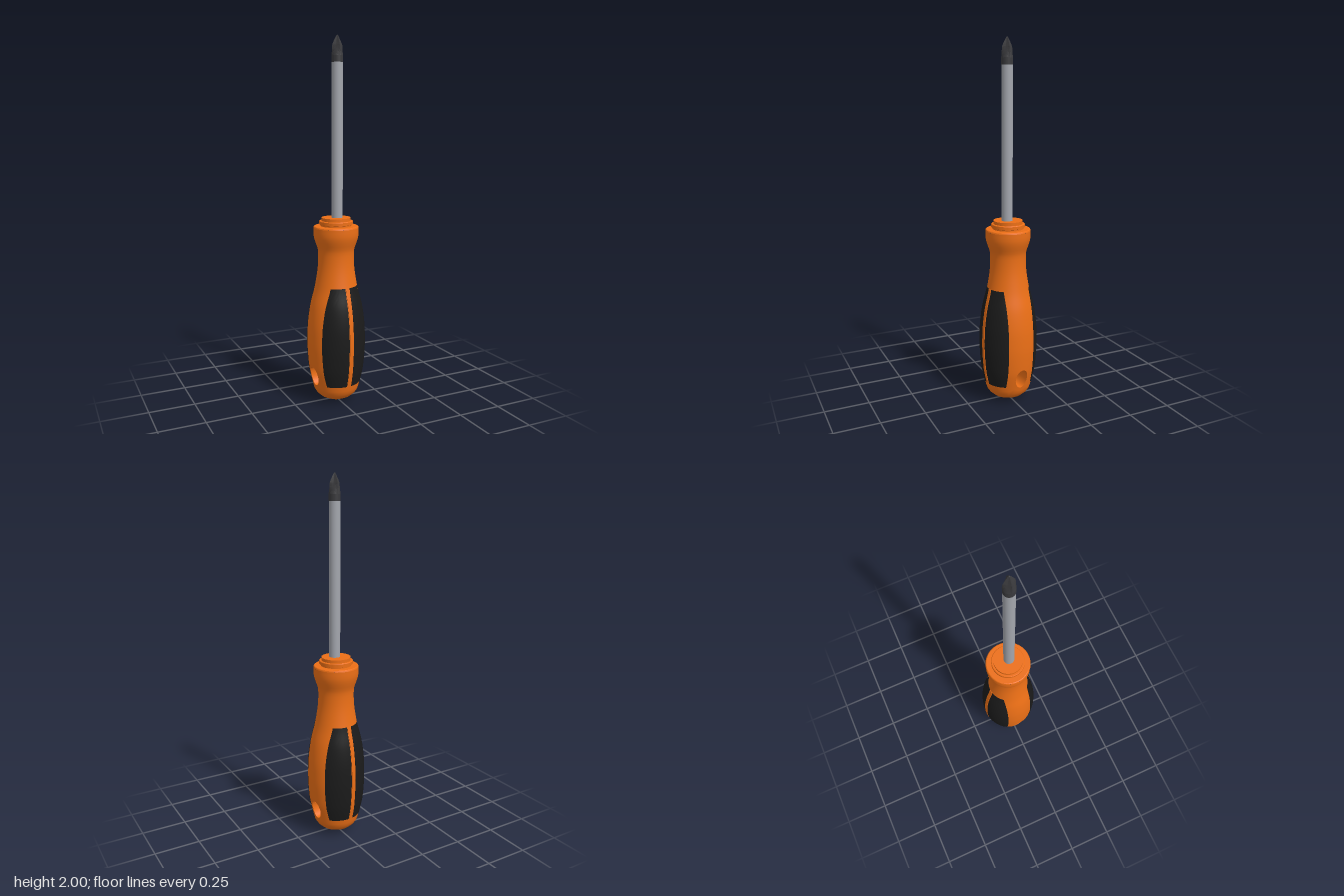
import * as THREE from 'three';
import { toCreasedNormals } from 'three/addons/utils/BufferGeometryUtils.js';

const material = (color, extra = {}) => new THREE.MeshStandardMaterial({ color, ...extra });

// Handle silhouette: elliptical dome at the bottom, spline above it
const spline = new THREE.SplineCurve([
  [0.125, 0.07], [0.134, 0.11], [0.143, 0.15], [0.152, 0.2], [0.159, 0.29], [0.16, 0.36],
  [0.156, 0.45], [0.142, 0.55], [0.118, 0.65], [0.101, 0.76], [0.099, 0.85], [0.11, 0.89],
  [0.121, 0.925], [0.124, 0.95], [0.124, 0.99],
].map(([r, y]) => new THREE.Vector2(r, y))).getPoints(300);

function handleRadius(y) {
  if (y < 0.07) return 0.131 * Math.sqrt(Math.max(0, 1 - ((0.1 - y) / 0.1) ** 2));
  const i = Math.max(1, spline.findIndex(p => p.y >= y));
  const a = spline[i - 1], b = spline[i];
  return a.x + (b.x - a.x) * (y - a.y) / (b.y - a.y);
}

const polar = (r, a, y) => [r * Math.sin(a), y, r * Math.cos(a)];

// Grid surface: rows of points, optionally wrapped round, with cells left out by a rule
function surface(rows, cols, point, { wrap = false, skip = () => false } = {}) {
  const positions = [], index = [];
  for (let i = 0; i < rows; i++)
    for (let j = 0; j < cols; j++) positions.push(...point(i, j));
  for (let i = 0; i < rows - 1; i++)
    for (let j = 0; j < (wrap ? cols : cols - 1); j++) {
      if (skip(i, j)) continue;
      const k = (j + 1) % cols;
      const a = i * cols + j, b = i * cols + k, c = b + cols, d = a + cols;
      index.push(a, b, c, a, c, d);
    }
  const g = new THREE.BufferGeometry();
  g.setAttribute('position', new THREE.Float32BufferAttribute(positions, 3));
  g.setIndex(index);
  g.computeVertexNormals();
  return g;
}

// Hanging hole: oval through the handle from side to side
const HOLE = { y: 0.155, halfHeight: 0.055, halfAngle: Math.PI / 12 };
const SEGMENTS = 72, HALF = 3, STEP = HOLE.halfHeight / HALF;

function handleBody() {
  const first = -8, ys = [0, 0.0008, 0.003];
  for (let k = first; k <= 45; k++) ys.push(HOLE.y + k * STEP);
  const rowOffset = i => i - 3 + first;
  const colOffset = j => (j < 36 ? j - 18 : j - 54);
  const point = (i, j) => {
    let a = j / SEGMENTS * Math.PI * 2, y = ys[i];
    const u = colOffset(j) / HALF, v = rowOffset(i) / HALF;
    const square = Math.max(Math.abs(u), Math.abs(v)), round = Math.hypot(u, v);
    // pull the square block of cells round the hole into an oval
    if (square > 0 && square < 2) {
      const f = THREE.MathUtils.lerp(square / round, 1, Math.max(0, square - 1));
      a += u * (f - 1) * HOLE.halfAngle;
      y += v * (f - 1) * HOLE.halfHeight;
    }
    return polar(handleRadius(y), a, y);
  };
  const skip = (i, j) =>
    Math.abs(rowOffset(i) + 0.5) < HALF && Math.abs((j % 36) - 18 + 0.5) < HALF;
  return surface(ys.length, SEGMENTS, point, { wrap: true, skip });
}

function holeTunnel() {
  return surface(2, 48, (i, j) => {
    const t = j / 48 * Math.PI * 2;
    const a = Math.PI / 2 + HOLE.halfAngle * Math.cos(t);
    const y = HOLE.y + HOLE.halfHeight * Math.sin(t);
    const [x, , z] = polar(handleRadius(y), a, y);
    return [i ? -x : x, y, z];
  }, { wrap: true });
}

// Raised patch following the handle, its rim sunk into the body
function patch(y0, y1, angles, lift, cols) {
  const rows = 32;
  const g = surface(rows, cols, (i, j) => {
    const v = THREE.MathUtils.clamp((i - 1) / (rows - 3), 0, 1);
    const u = THREE.MathUtils.clamp((j - 1) / (cols - 3), 0, 1);
    const y = y0 + (y1 - y0) * v, r = handleRadius(y);
    const [a0, a1] = angles(r);
    const rim = i === 0 || j === 0 || i === rows - 1 || j === cols - 1;
    return polar(r + (rim ? -0.008 : lift), a0 + (a1 - a0) * u, y);
  });
  return toCreasedNormals(g, 0.7);
}

// Cross-point bit: round at the foot, four flutes deepening towards the point
function bitTip() {
  const rings = [
    [1.86, 0.031, 0], [1.895, 0.031, 0], [1.925, 0.031, 0.22], [1.95, 0.029, 0.38],
    [1.97, 0.02, 0.42], [1.99, 0.009, 0.4], [1.998, 0.004, 0.2], [2, 0, 0],
  ];
  return surface(rings.length, 32, (i, j) => {
    const [y, r, depth] = rings[i], a = j / 32 * Math.PI * 2;
    return polar(r * (1 - depth * Math.pow(Math.abs(Math.sin(2 * a)), 0.7)), a, y);
  }, { wrap: true });
}

export function createModel() {
  const model = new THREE.Group();
  model.name = 'screwdriver';
  const orange = material(0xec6f16);
  const orangeInside = material(0xec6f16, { side: THREE.DoubleSide });
  const rubber = material(0x1b1b1b);
  const steel = material(0xa3a6ad);
  const darkSteel = material(0x3a3a3d, { flatShading: true });

  const add = (parent, name, geometry, mat) => {
    const mesh = new THREE.Mesh(geometry, mat);
    mesh.name = name;
    parent.add(mesh);
    return mesh;
  };

  // Handle, turned slightly about the upright axis
  const handle = new THREE.Group();
  handle.name = 'handle';
  handle.rotation.y = 0.12;
  model.add(handle);
  add(handle, 'handleBody', handleBody(), orange);
  add(handle, 'hangingHole', holeTunnel(), orangeInside);

  // Stepped collar closing the top of the handle
  const collar = [
    [0.124, 0.98], [0.122, 0.986], [0.118, 0.989], [0.084, 0.989], [0.084, 0.996], [0.092, 0.999],
    [0.092, 1.015], [0.089, 1.018], [0.08, 1.018], [0.08, 1.035], [0, 1.035],
  ].map(([r, y]) => new THREE.Vector2(r, y));
  add(handle, 'collar', toCreasedNormals(new THREE.LatheGeometry(collar, 64), 0.6), orange);

  // Four rubber grip pads, with a thin rib between each pair
  const inner = r => Math.asin(0.014 / r), outer = r => Math.acos(0.08 / r);
  for (const side of [0, Math.PI]) {
    const face = new THREE.Group();
    face.name = side ? 'backGrip' : 'frontGrip';
    face.rotation.y = side;
    handle.add(face);
    add(face, 'gripPadLeft', patch(0.11, 0.66, r => [inner(r), outer(r)], 0.002, 16), rubber);
    add(face, 'gripPadRight', patch(0.11, 0.66, r => [-outer(r), -inner(r)], 0.002, 16), rubber);
    add(face, 'gripRib', patch(0.11, 0.66, r => [-0.011 / r, 0.011 / r], 0.003, 6), orange);
  }

  // Blade: steel shaft and dark bit
  const blade = new THREE.Group();
  blade.name = 'blade';
  blade.position.set(0.004, 0, 0.007);
  model.add(blade);
  const shaft = add(blade, 'shaft', new THREE.CylinderGeometry(0.03, 0.03, 0.85, 32), steel);
  shaft.position.y = 1.437;
  add(blade, 'bitTip', bitTip(), darkSteel);

  return model;
}
